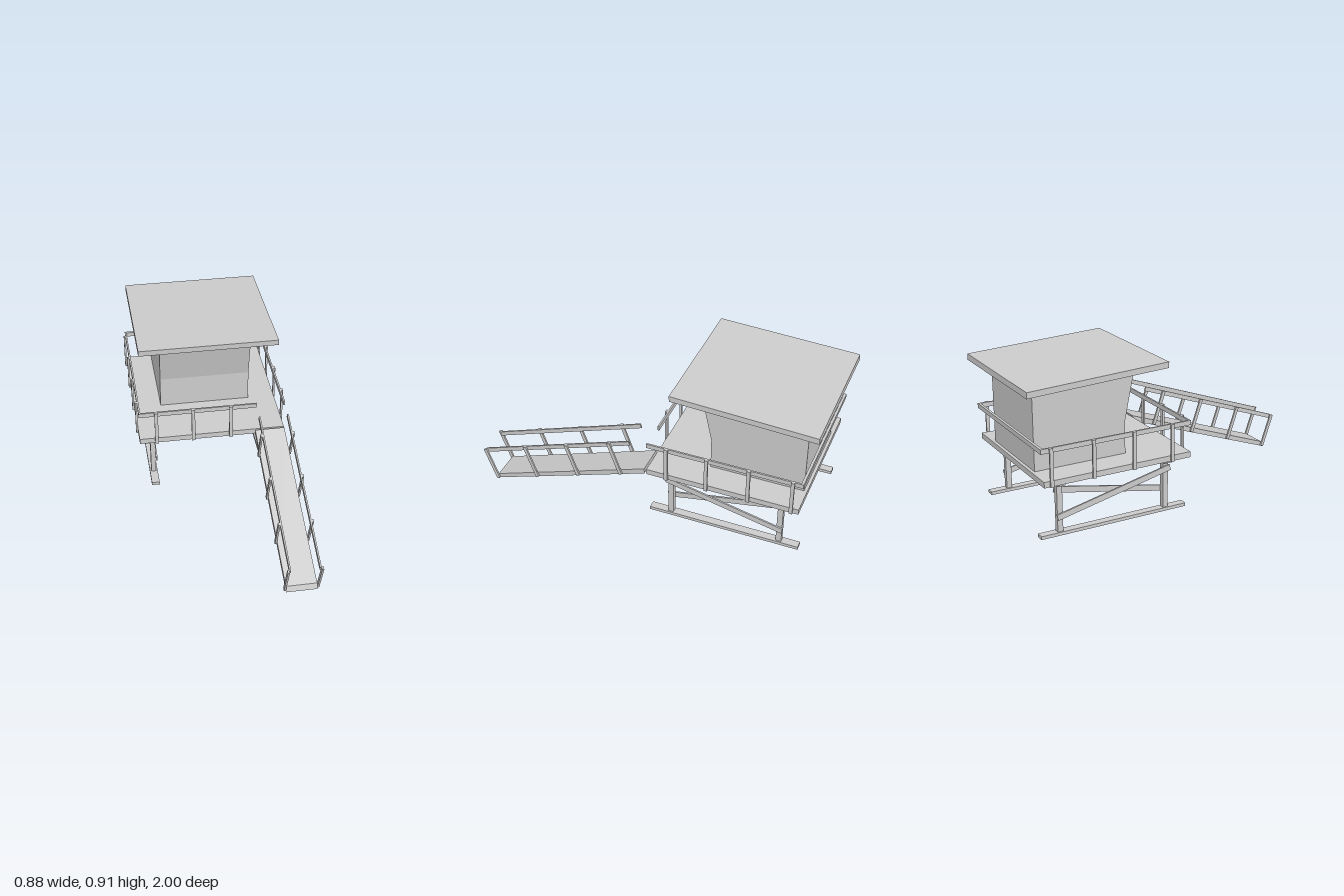
import * as THREE from 'three';

const material = new THREE.MeshStandardMaterial({ color: 0xcccccc, flatShading: true });

function add(parent, name, geometry) {
  const mesh = new THREE.Mesh(geometry, material);
  mesh.name = name;
  parent.add(mesh);
  return mesh;
}

// Axis-aligned box given by its limits
function box(parent, name, [x0, x1], [y0, y1], [z0, z1]) {
  const g = new THREE.BoxGeometry(x1 - x0, y1 - y0, z1 - z0);
  g.translate((x0 + x1) / 2, (y0 + y1) / 2, (z0 + z1) / 2);
  return add(parent, name, g);
}

// Side profile of [z, y] points, extruded from x0 to x1
function profile(parent, name, points, [x0, x1]) {
  const shape = new THREE.Shape(points.map(([z, y]) => new THREE.Vector2(-z, y)));
  const g = new THREE.ExtrudeGeometry(shape, { depth: x1 - x0, bevelEnabled: false });
  g.rotateY(Math.PI / 2);
  g.translate(x0, 0, 0);
  return add(parent, name, g);
}

// Sloping bar with square ends, centred on the line a-b ([z, y] points)
function bar(parent, name, a, b, width, xs) {
  const dz = b[0] - a[0], dy = b[1] - a[1];
  const k = width / 2 / Math.hypot(dz, dy);
  const nz = -dy * k, ny = dz * k;
  return profile(parent, name, [
    [a[0] + nz, a[1] + ny], [b[0] + nz, b[1] + ny],
    [b[0] - nz, b[1] - ny], [a[0] - nz, a[1] - ny]], xs);
}

// Range along x, mirrored for the -x side
const mirror = (side, a, b) => side > 0 ? [a, b] : [-b, -a];

export function createModel() {
  const model = new THREE.Group();
  const group = (name) => {
    const g = new THREE.Group();
    g.name = name;
    model.add(g);
    return g;
  };

  // Cabin with forward-leaning upper front, and tilted roof
  profile(model, 'cabin', [[-0.912, 0.385], [-0.368, 0.385], [-0.368, 0.573],
    [-0.303, 0.878], [-0.912, 0.85]], [-0.27, 0.27]);
  profile(model, 'roof', [[-0.172, 0.88], [-0.17, 0.914], [-0.998, 0.876],
    [-1, 0.842]], [-0.407, 0.407]);

  // Platform
  box(model, 'deck', [-0.43, 0.43], [0.352, 0.385], [-0.93, -0.045]);

  // Supports: cross beams with chamfered ends, legs, skids, crossed braces
  const supports = group('supports');
  for (const z of [-0.166, -0.814]) {
    const shape = new THREE.Shape([[-0.405, 0.352], [-0.405, 0.333], [-0.365, 0.32],
      [0.365, 0.32], [0.405, 0.333], [0.405, 0.352]].map((p) => new THREE.Vector2(...p)));
    const g = new THREE.ExtrudeGeometry(shape, { depth: 0.032, bevelEnabled: false });
    g.translate(0, 0, z - 0.016);
    add(supports, 'crossBeam', g);
    for (const s of [1, -1]) {
      box(supports, 'leg', mirror(s, 0.332, 0.361), [0.053, 0.32], [z - 0.016, z + 0.016]);
    }
  }
  for (const s of [1, -1]) {
    box(supports, 'skid', mirror(s, 0.323, 0.37), [0.034, 0.053], [-0.93, -0.04]);
    bar(supports, 'outerBrace', [-0.14, 0.291], [-0.832, 0.139], 0.034, mirror(s, 0.361, 0.371));
    bar(supports, 'innerBrace', [-0.14, 0.153], [-0.832, 0.289], 0.034, mirror(s, 0.322, 0.332));
  }

  // Deck railing, open at the front where the ramp arrives
  const railing = group('railing');
  const railY = [0.541, 0.568];
  for (const s of [1, -1]) {
    box(railing, 'sideRail', mirror(s, 0.42, 0.43), railY, [-0.93, -0.045]);
    for (const z of [-0.165, -0.4, -0.642, -0.888]) {
      box(railing, 'sidePost', mirror(s, 0.43, 0.441), [0.352, 0.568], [z - 0.01, z + 0.01]);
    }
  }
  box(railing, 'backRail', [-0.43, 0.43], railY, [-0.945, -0.93]);
  box(railing, 'frontRail', [-0.42, 0.262], railY, [-0.055, -0.045]);
  for (const x of [-0.33, -0.113, 0.11]) {
    box(railing, 'frontPost', [x - 0.01, x + 0.01], [0.352, 0.568], [-0.045, -0.033]);
  }

  // Ramp with a handrail on each side, posts square to the slope
  const ramp = group('ramp');
  profile(ramp, 'rampBoard', [[0.937, 0.003], [0.925, 0.037], [-0.033, 0.385],
    [-0.033, 0.352]], [0.255, 0.43]);
  for (const [rail, post] of [[[0.255, 0.264], [0.244, 0.255]], [[0.421, 0.43], [0.43, 0.441]]]) {
    bar(ramp, 'handrail', [0.984, 0.203], [0.056, 0.54], 0.026, rail);
    for (let i = 0; i < 4; i++) {
      const z = 0.922 - 0.27 * i, y = 0.012 + 0.098 * i;
      bar(ramp, 'rampPost', [z, y], [z + 0.07, y + 0.201], 0.02, post);
    }
  }
  return model;
}
